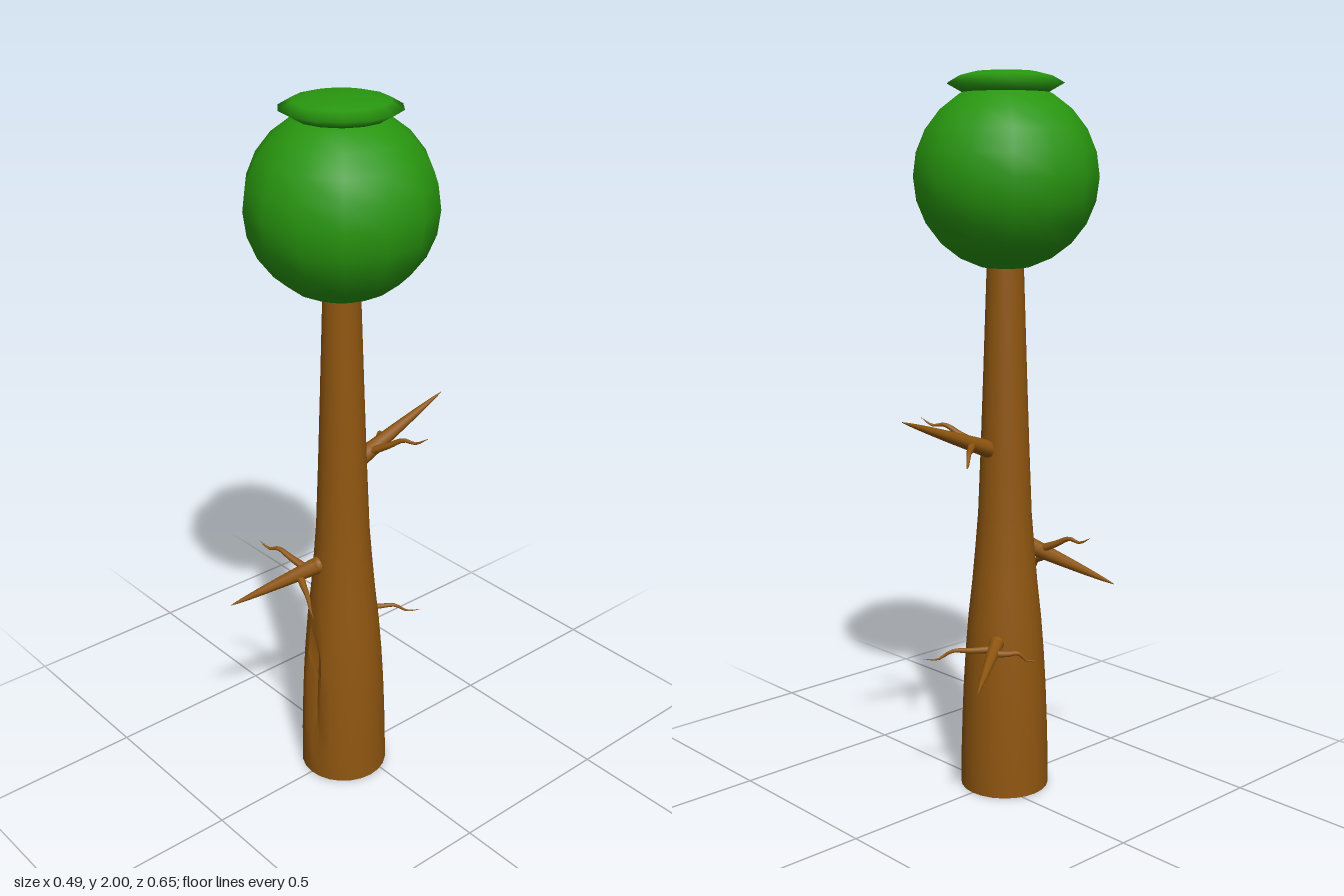
import * as THREE from 'three';
import { mergeVertices, toCreasedNormals } from 'three/addons/utils/BufferGeometryUtils.js';

const AXIS_Z = 0.043;
const bark = new THREE.MeshStandardMaterial({ color: 0x8f5610 });
const leaf = new THREE.MeshStandardMaterial({ color: 0x28960f });

function mesh(name, geometry, material) {
  const m = new THREE.Mesh(geometry, material);
  m.name = name;
  return m;
}

function lathe(profile, segments) {
  return new THREE.LatheGeometry(profile.map(([r, y]) => new THREE.Vector2(r, y)), segments);
}

// Trunk: flared lathe with a shallow pointed groove down the front
function trunkGeometry() {
  let g = lathe([[0, 0], [0.125, 0], [0.124, 0.1], [0.121, 0.2], [0.117, 0.3], [0.111, 0.4],
    [0.103, 0.5], [0.092, 0.6], [0.083, 0.7], [0.075, 0.8], [0.067, 1], [0.06, 1.2],
    [0.05, 1.5], [0, 1.5]], 24);
  const p = g.attributes.position;
  for (let i = 0; i < p.count; i++) {
    const y = p.getY(i);
    if (Math.abs(p.getX(i)) < 0.002 && p.getZ(i) > 0.05 && y > 0.15 && y < 0.45) {
      p.setZ(i, p.getZ(i) - 0.02);
    }
  }
  g.deleteAttribute('uv');
  g.deleteAttribute('normal');
  g = mergeVertices(g, 1e-5);
  return toCreasedNormals(g, 0.9);
}

// Tube along a curve that tapers to a point
function taperedLimb(points, radius, power) {
  const curve = new THREE.CatmullRomCurve3(points.map(a => new THREE.Vector3(...a)));
  const rings = 14, sides = 8;
  const g = new THREE.TubeGeometry(curve, rings, radius, sides, false);
  const p = g.attributes.position, v = new THREE.Vector3();
  for (let i = 0; i <= rings; i++) {
    const t = i / rings, c = curve.getPointAt(t);
    const k = Math.max(0.03, Math.pow(1 - t, power));
    for (let j = 0; j <= sides; j++) {
      const n = i * (sides + 1) + j;
      v.fromBufferAttribute(p, n).sub(c).multiplyScalar(k).add(c);
      p.setXYZ(n, v.x, v.y, v.z);
    }
  }
  return g;
}

// Branch: straight spike with a rounded foot and crooked side twigs
function branch(name, base, tip, radius, twigTips) {
  const group = new THREE.Group();
  group.name = name;
  const a = new THREE.Vector3(...base), b = new THREE.Vector3(...tip);
  const mid = a.clone().lerp(b, 0.5);
  group.add(mesh('spike', taperedLimb([base, mid.toArray(), tip], radius, 0.7), bark));
  const foot = mesh('foot', new THREE.SphereGeometry(radius, 10, 8), bark);
  foot.position.copy(a);
  group.add(foot);
  twigTips.forEach((end, i) => {
    const start = a.clone().lerp(b, 0.12 + 0.1 * i), e = new THREE.Vector3(...end);
    const bend = (t, dy) => start.clone().lerp(e, t).add(new THREE.Vector3(0, dy, 0)).toArray();
    const path = [start.toArray(), bend(0.35, 0.006), bend(0.6, 0.012), bend(0.8, -0.006), end];
    group.add(mesh('twig', taperedLimb(path, radius * 0.5, 0.75), bark));
  });
  return group;
}

export function createModel() {
  const tree = new THREE.Group();
  tree.name = 'tree';

  const trunk = mesh('trunk', trunkGeometry(), bark);
  trunk.position.z = AXIS_Z;
  tree.add(trunk);

  // Ball of leaves, fourteen-sided
  const ball = [];
  for (let i = 0; i <= 12; i++) {
    const a = Math.PI * i / 12;
    ball.push([Math.max(0, 0.2525 * Math.sin(a)), 1.723 - 0.249 * Math.cos(a)]);
  }
  const crown = mesh('crown', lathe(ball, 14), leaf);
  crown.position.z = AXIS_Z;
  tree.add(crown);

  // Flared cap of leaves on top
  const cap = mesh('crownCap', lathe([[0.1, 1.93], [0.12, 1.945], [0.158, 1.966],
    [0.125, 1.985], [0.08, 1.996], [0, 2]], 14), leaf);
  cap.material = leaf;
  cap.position.z = AXIS_Z;
  tree.add(cap);

  tree.add(
    branch('upperBackBranch', [0, 0.985, -0.01], [0, 1.1, -0.325], 0.025,
      [[0.155, 1.07, -0.13], [-0.11, 0.975, -0.2]]),
    branch('frontBranch', [-0.015, 0.695, 0.12], [-0.165, 0.57, 0.32], 0.025,
      [[-0.18, 0.73, 0.2], [0.06, 0.585, 0.2]]),
    branch('lowerBackBranch', [-0.06, 0.45, -0.045], [-0.205, 0.395, -0.25], 0.021,
      [[0.035, 0.425, -0.23], [-0.16, 0.415, 0.01]])
  );
  return tree;
}
